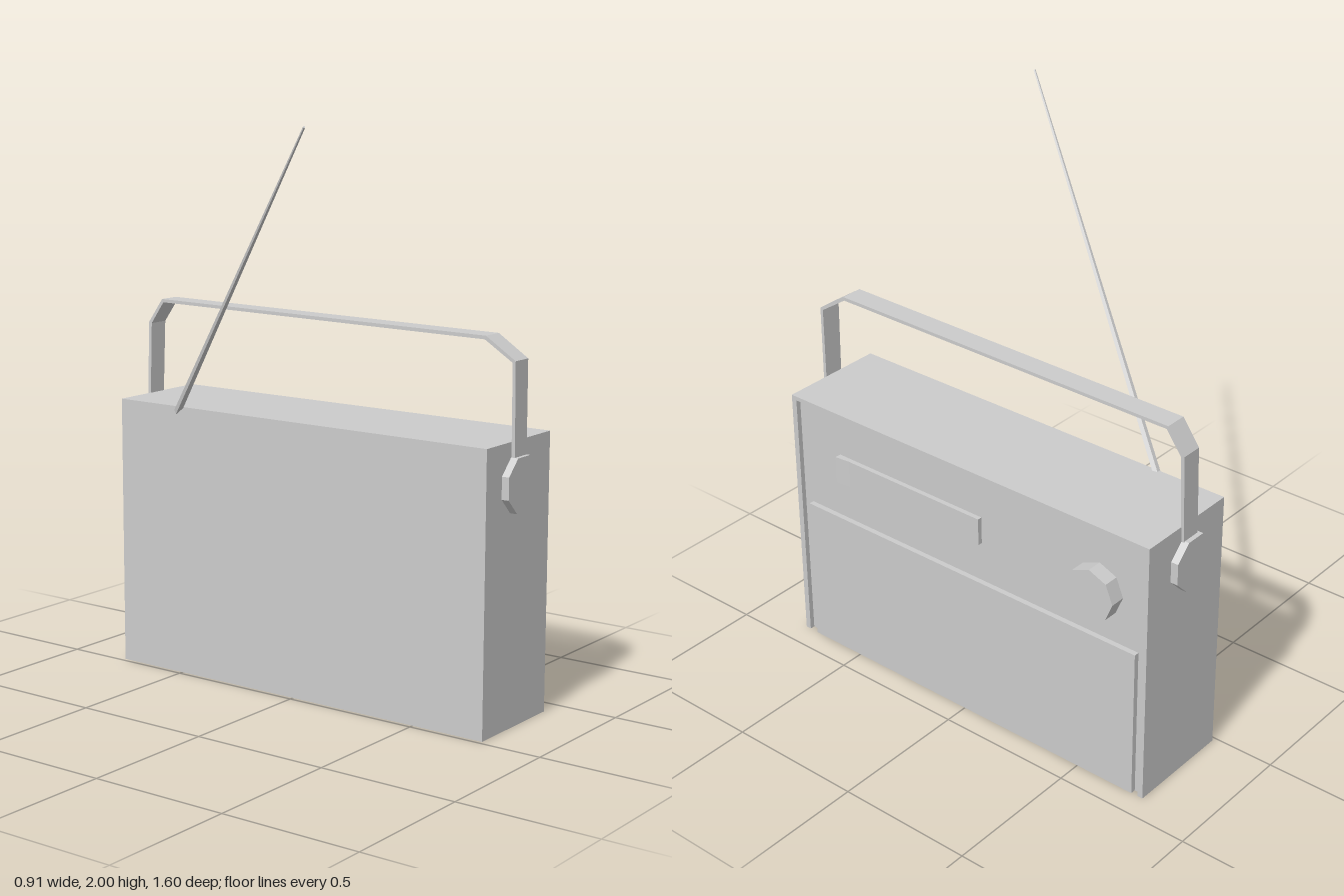
import * as THREE from 'three';

const material = new THREE.MeshStandardMaterial({ color: 0xcccccc, flatShading: true });
const X0 = 0.016, PANEL = 0.394, FRONT = 0.412; // back, recessed face and rim along x
const HALF = 0.773, HEIGHT = 0.975;

function mesh(name, geometry) {
  const m = new THREE.Mesh(geometry, material);
  m.name = name;
  return m;
}

// Box given by its limits on each axis
function box(name, x0, x1, y0, y1, z0, z1) {
  const g = new THREE.BoxGeometry(x1 - x0, y1 - y0, z1 - z0);
  return mesh(name, g.translate((x0 + x1) / 2, (y0 + y1) / 2, (z0 + z1) / 2));
}

const shapeOf = (pts) => new THREE.Shape(pts.map(([a, b]) => new THREE.Vector2(a, b)));

// Rim round the face: both sides and the top, open at the bottom
function rim() {
  const inner = 0.752, top = 0.96;
  const shape = shapeOf([
    [-HALF, 0], [-inner, 0], [-inner, top], [inner, top],
    [inner, 0], [HALF, 0], [HALF, HEIGHT], [-HALF, HEIGHT],
  ]);
  const g = new THREE.ExtrudeGeometry(shape, { depth: FRONT - PANEL, bevelEnabled: false });
  return mesh('faceRim', g.rotateY(Math.PI / 2).translate(PANEL, 0, 0));
}

// Tuning window with one slightly raised end
function tuningWindow() {
  const shape = shapeOf([
    [PANEL - 0.005, -0.569], [0.417, -0.569], [0.411, -0.513],
    [0.411, 0.074], [PANEL - 0.005, 0.074],
  ]);
  const g = new THREE.ExtrudeGeometry(shape, { depth: 0.1, bevelEnabled: false });
  return mesh('tuningWindow', g.rotateX(-Math.PI / 2).translate(0, 0.703, 0));
}

// Flat strap swept over the case; stations are outer z, y and centre x
function strap() {
  const stations = [
    [0.786, 0.83, 0.205], [0.786, 1.241, 0.2], [0.675, 1.315, 0.196],
    [-0.72, 1.324, 0.222], [-0.782, 1.236, 0.22], [-0.784, 0.83, 0.205],
  ];
  const thickness = 0.013, halfWidths = [0.036, 0.039, 0.04, 0.039, 0.038, 0.036];
  const path = stations.map(([z, y]) => new THREE.Vector2(z, y));
  const rings = stations.map(([z, y, x], i) => {
    const a = path[Math.max(i - 1, 0)], b = path[Math.min(i + 1, path.length - 1)];
    const d1 = path[i].clone().sub(a).normalize();
    const d2 = b.clone().sub(path[i]).normalize();
    const t = d1.add(d2).normalize();
    const iz = z - t.y * thickness, iy = y + t.x * thickness; // inward along the normal
    const w = halfWidths[i];
    return [[x - w, y, z], [x + w, y, z], [x + w, iy, iz], [x - w, iy, iz]];
  });
  const pos = [];
  const quad = (a, b, c, d) => pos.push(...a, ...b, ...c, ...a, ...c, ...d);
  for (let i = 0; i < rings.length - 1; i++) {
    for (let k = 0; k < 4; k++) {
      const n = (k + 1) % 4;
      quad(rings[i][k], rings[i][n], rings[i + 1][n], rings[i + 1][k]);
    }
  }
  const g = new THREE.BufferGeometry();
  g.setAttribute('position', new THREE.Float32BufferAttribute(pos, 3));
  g.computeVertexNormals();
  return mesh('handleStrap', g);
}

// Thin tapered rod leaning back from the rear top edge
function antenna() {
  const base = new THREE.Vector3(0.026, 0.955, -0.518);
  const tip = new THREE.Vector3(-0.453, 2, 0.395);
  const dir = tip.clone().sub(base);
  const m = mesh('antenna', new THREE.CylinderGeometry(0.004, 0.014, dir.length(), 5));
  m.position.copy(base).add(tip).multiplyScalar(0.5);
  m.quaternion.setFromUnitVectors(new THREE.Vector3(0, 1, 0), dir.normalize());
  return m;
}

export function createModel() {
  const group = new THREE.Group();
  group.name = 'portableRadio';

  // Case and face
  group.add(box('case', X0, PANEL, 0, HEIGHT, -HALF, HALF));
  group.add(rim());
  group.add(box('speakerPanel', PANEL - 0.005, 0.413, 0, 0.556, -0.728, 0.716));
  group.add(tuningWindow());

  // Octagonal tuning knob
  const knob = new THREE.CylinderGeometry(0.095, 0.095, 0.06, 8).rotateZ(-Math.PI / 2);
  group.add(mesh('tuningKnob', knob.translate(0.419, 0.737, -0.567)));

  // Handle with an octagonal pivot on each end of the case
  const handle = new THREE.Group();
  handle.name = 'handle';
  handle.add(strap());
  for (const s of [1, -1]) {
    const pivot = new THREE.CylinderGeometry(0.1, 0.1, 0.035, 8)
      .rotateY(Math.PI / 8).rotateX(Math.PI / 2);
    handle.add(mesh(s > 0 ? 'frontPivot' : 'backPivot', pivot.translate(0.203, 0.831, s * 0.7825)));
  }
  group.add(handle);

  group.add(antenna());
  return group;
}
